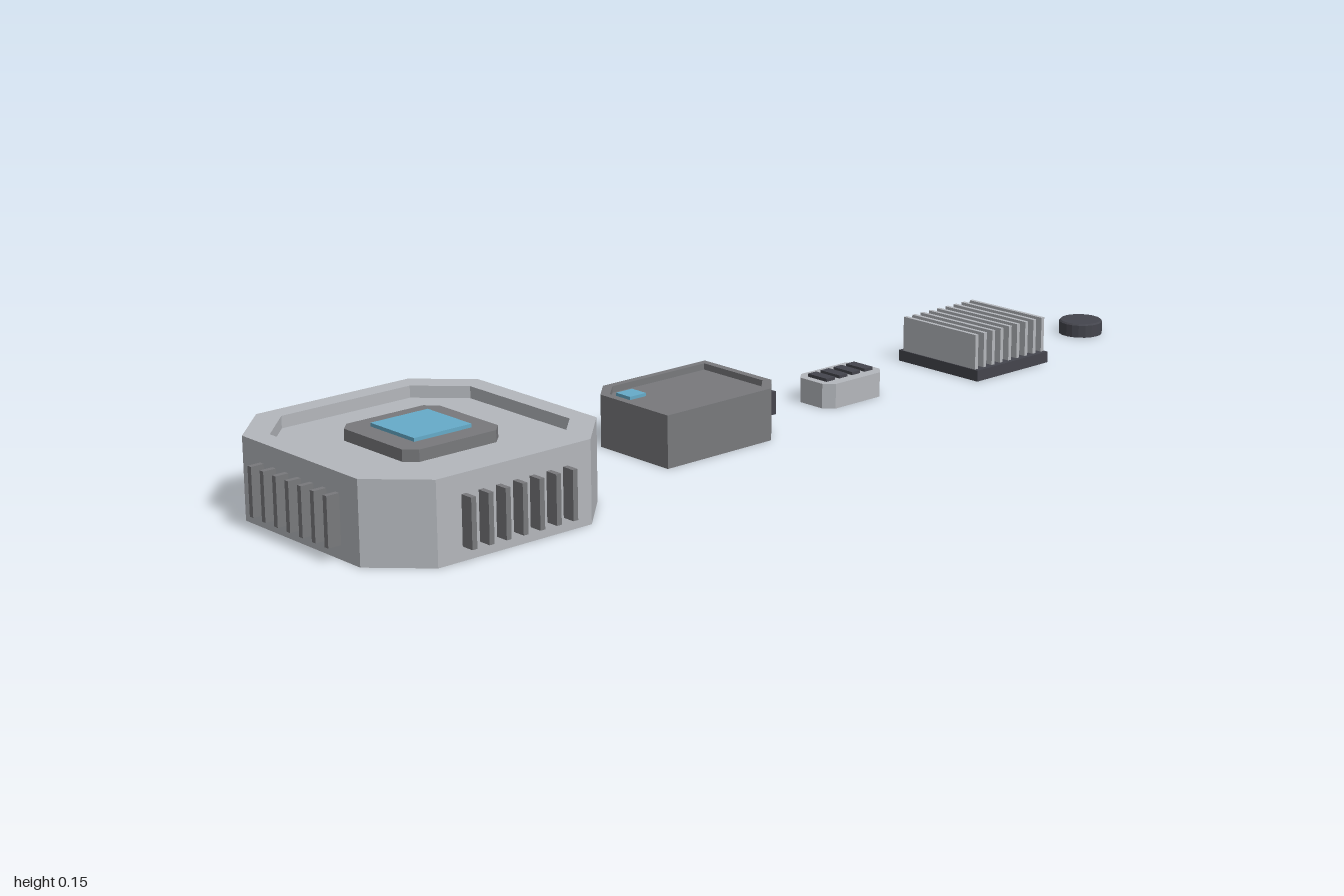
import * as THREE from 'three';

const material = (name, color) => {
  const m = new THREE.MeshStandardMaterial({ color });
  m.name = name;
  return m;
};

export function createModel() {
  const light = material('light grey', 0xb4b7bc);
  const mid = material('mid grey', 0x78797c);
  const dark = material('charcoal', 0x44454d);
  const blue = material('light blue', 0x66abc9);

  const model = new THREE.Group();
  model.name = 'hardwareKit';

  const group = (name, x) => {
    const g = new THREE.Group();
    g.name = name;
    g.position.x = x;
    model.add(g);
    return g;
  };
  const add = (parent, name, geometry, mat, x = 0, y = 0, z = 0) => {
    const mesh = new THREE.Mesh(geometry, mat);
    mesh.name = name;
    mesh.position.set(x, y, z);
    parent.add(mesh);
    return mesh;
  };
  const box = (parent, name, mat, w, h, d, x, y, z) =>
    add(parent, name, new THREE.BoxGeometry(w, h, d), mat, x, y, z);

  // Rectangle with cut corners: a for (-x,+z) and (+x,-z), b for the other two
  const outline = (hw, hd, a, b = a) => [
    [-hw + a, -hd], [hw - b, -hd], [hw, -hd + b], [hw, hd - a],
    [hw - a, hd], [-hw + b, hd], [-hw, hd - b], [-hw, -hd + a],
  ].map(([x, y]) => new THREE.Vector2(x, y))
    .filter((p, i, all) => i === 0 || p.distanceTo(all[i - 1]) > 1e-6);

  // Upright prism from an outline, with an optional opening through it
  const prism = (points, height, hole) => {
    const shape = new THREE.Shape(points);
    if (hole) shape.holes.push(new THREE.Path(hole));
    return new THREE.ExtrudeGeometry(shape, { depth: height, bevelEnabled: false }).rotateX(-Math.PI / 2);
  };

  // Octagonal hub with a sunken top
  const hub = group('hub', -0.733);
  const hubOuter = outline(0.248, 0.248, 0.088);
  add(hub, 'hubBody', prism(hubOuter, 0.126), light);
  add(hub, 'hubRim', prism(hubOuter, 0.022, outline(0.21, 0.21, 0.075)), light, 0, 0.126);
  add(hub, 'chipPad', prism(outline(0.1, 0.1, 0.02), 0.021), mid, 0, 0.126);
  box(hub, 'chipLight', blue, 0.12, 0.007, 0.12, 0, 0.15, 0);

  // Seven cooling ribs on each of the four sides
  for (let side = 0; side < 4; side++) {
    const ribs = new THREE.Group();
    ribs.name = 'sideRibs';
    ribs.rotation.y = side * Math.PI / 2;
    hub.add(ribs);
    for (let i = -3; i <= 3; i++) {
      box(ribs, 'rib', mid, 0.01, 0.088, 0.035, i * 0.035, 0.069, 0.2555);
    }
  }

  // Battery module: two opposite corners cut, shallow sunken lid
  const battery = group('battery', -0.135);
  const batteryOuter = outline(0.145, 0.11, 0, 0.04);
  batteryOuter.length = 0;
  batteryOuter.push(...[[-0.145, -0.11], [0.105, -0.11], [0.145, -0.07], [0.145, 0.11],
    [-0.105, 0.11], [-0.145, 0.07]].map(([x, y]) => new THREE.Vector2(x, y)));
  const batteryInner = batteryOuter.map((p) => new THREE.Vector2(p.x * 0.9, p.y * 0.87));
  add(battery, 'batteryBody', prism(batteryOuter, 0.086), mid);
  add(battery, 'batteryRim', prism(batteryOuter, 0.012, batteryInner), mid, 0, 0.086);
  box(battery, 'statusLight', blue, 0.038, 0.006, 0.038, -0.084, 0.089, -0.057);
  box(battery, 'connector', dark, 0.045, 0.044, 0.08, 0.1625, 0.04, 0);

  // Small sensor block with four contacts
  const sensor = group('sensor', 0.258);
  add(sensor, 'sensorBody', prism(outline(0.077, 0.047, 0.018), 0.048), light);
  for (let i = 0; i < 4; i++) {
    box(sensor, 'contact', dark, 0.022, 0.008, 0.05, (i - 1.5) * 0.034, 0.05, 0);
  }

  // Heat sink: base plate and upright fins
  const heatSink = group('heatSink', 0.631);
  box(heatSink, 'basePlate', dark, 0.205, 0.022, 0.21, 0, 0.011, 0);
  for (let i = -4; i <= 4; i++) {
    box(heatSink, 'fin', light, 0.008, 0.07, 0.192, i * 0.024, 0.056, 0);
  }

  // Round button with a slightly bevelled top edge
  const button = group('button', 0.956);
  const profile = [[0, 0], [0.044, 0], [0.044, 0.025], [0.041, 0.028], [0, 0.028]]
    .map(([x, y]) => new THREE.Vector2(x, y));
  const buttonGeometry = new THREE.LatheGeometry(profile, 20).toNonIndexed();
  buttonGeometry.computeVertexNormals();
  add(button, 'buttonBody', buttonGeometry, dark);

  return model;
}
